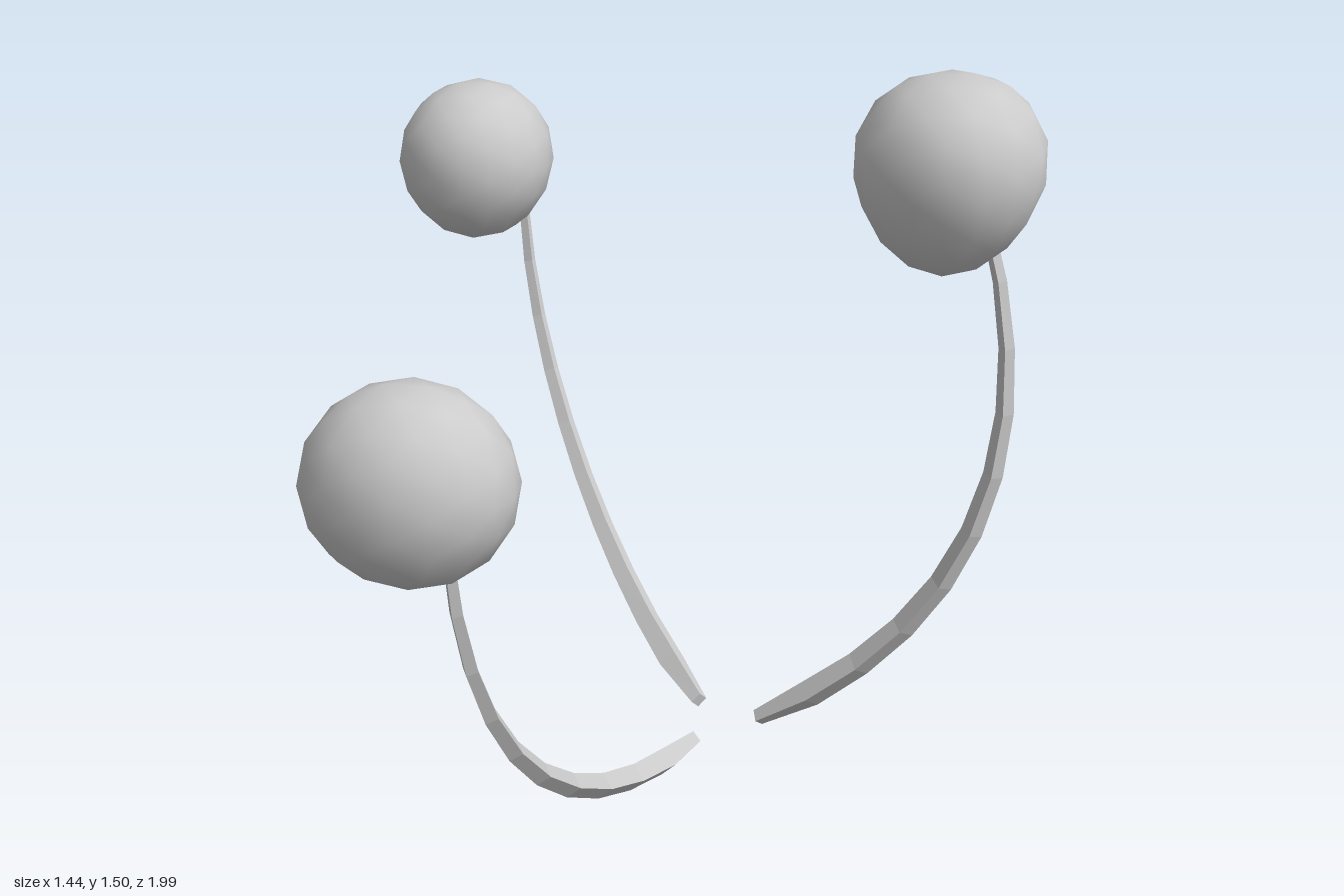
import * as THREE from 'three';
import { mergeVertices } from 'three/addons/utils/BufferGeometryUtils.js';

// Lumpy ball: an ellipsoid swollen along one direction and narrowed towards its base
function headGeometry({ size, bulge, swell, taper }) {
  let geo = new THREE.IcosahedronGeometry(1, 2);
  geo.deleteAttribute('uv');
  geo.deleteAttribute('normal');
  geo = mergeVertices(geo, 1e-4);
  const pos = geo.attributes.position;
  const axis = new THREE.Vector3(...bulge).normalize();
  const d = new THREE.Vector3();
  for (let i = 0; i < pos.count; i++) {
    d.fromBufferAttribute(pos, i);
    const grow = 1 + swell * Math.max(0, d.dot(axis)) ** 2;
    const wide = grow * (1 + taper * d.y);
    pos.setXYZ(i, d.x * size[0] * wide, d.y * size[1] * grow, d.z * size[2] * wide);
  }
  geo.computeVertexNormals();
  return geo;
}

// Thickness along a stalk: blunt foot, widest near the ground, thin under the head
function stalkRadius(t) {
  if (t < 0.1) return THREE.MathUtils.lerp(0.018, 0.03, t / 0.1);
  return THREE.MathUtils.lerp(0.03, 0.012, (t - 0.1) / 0.9);
}

// Curved stalk with a diamond cross-section, bent within one upright plane.
// Each bend is [fraction of the way from foot to tip in plan, height].
function stalkGeometry({ foot, tip, bends }, rings = 11) {
  const start = new THREE.Vector3(...foot), end = new THREE.Vector3(...tip);
  const controls = bends.map(([f, y]) => start.clone().lerp(end, f).setY(y));
  const curve = new THREE.CubicBezierCurve3(start, ...controls, end);
  const side = new THREE.Vector3(end.z - start.z, 0, start.x - end.x).normalize();
  const verts = [], index = [];
  for (let i = 0; i < rings; i++) {
    const t = i / (rings - 1);
    const p = curve.getPointAt(t);
    const up = curve.getTangentAt(t).cross(side).normalize();
    const r = stalkRadius(t);
    for (let j = 0; j < 4; j++) {
      const v = p.clone()
        .addScaledVector(side, r * Math.cos(j * Math.PI / 2))
        .addScaledVector(up, r * Math.sin(j * Math.PI / 2));
      verts.push(v.x, v.y, v.z);
      if (i < rings - 1) {
        const a = i * 4 + j, b = i * 4 + (j + 1) % 4;
        index.push(a, b, a + 4, b, b + 4, a + 4);
      }
    }
  }
  const e = (rings - 1) * 4;
  index.push(0, 2, 1, 0, 3, 2, e, e + 1, e + 2, e, e + 2, e + 3);
  const geo = new THREE.BufferGeometry();
  geo.setAttribute('position', new THREE.Float32BufferAttribute(verts, 3));
  geo.setIndex(index);
  geo.computeVertexNormals();
  return geo;
}

const frontSprout = {
  foot: [0.06, 0.025, 0.045], tip: [-0.262, 0.88, 0.88], bends: [[0.56, 0.07], [0.95, 0.39]],
  center: [-0.328, 0.977, 0.84], size: [0.187, 0.183, 0.158],
  bulge: [-0.85, -0.3, -0.4], swell: 0.05, taper: 0,
};

const backSprout = {
  foot: [0.055, 0.025, -0.115], tip: [-0.435, 0.9, -0.81], bends: [[0.45, 0.1], [0.95, 0.47]],
  center: [-0.547, 1.003, -0.82], size: [0.175, 0.182, 0.17],
  bulge: [0.4, 0.35, -0.85], swell: 0.08, taper: 0.03,
};

const leftSprout = {
  foot: [0.19, 0.04, -0.035], tip: [0.61, 1.22, 0.045], bends: [[1.15, 0.35], [1.32, 0.8]],
  center: [0.535, 1.306, 0.081], size: [0.176, 0.194, 0.178],
  bulge: [0.6, 0.45, 0.66], swell: 0.11, taper: 0.13,
};

export function createModel() {
  const model = new THREE.Group();
  const smooth = new THREE.MeshStandardMaterial({ color: 0xcccccc });
  const faceted = new THREE.MeshStandardMaterial({ color: 0xcccccc, flatShading: true });
  for (const [name, sprout] of Object.entries({ frontSprout, backSprout, leftSprout })) {
    const group = new THREE.Group();
    group.name = name;
    const stalk = new THREE.Mesh(stalkGeometry(sprout), faceted);
    stalk.name = 'stalk';
    const head = new THREE.Mesh(headGeometry(sprout), smooth);
    head.name = 'head';
    head.position.set(...sprout.center);
    group.add(stalk, head);
    model.add(group);
  }
  return model;
}
